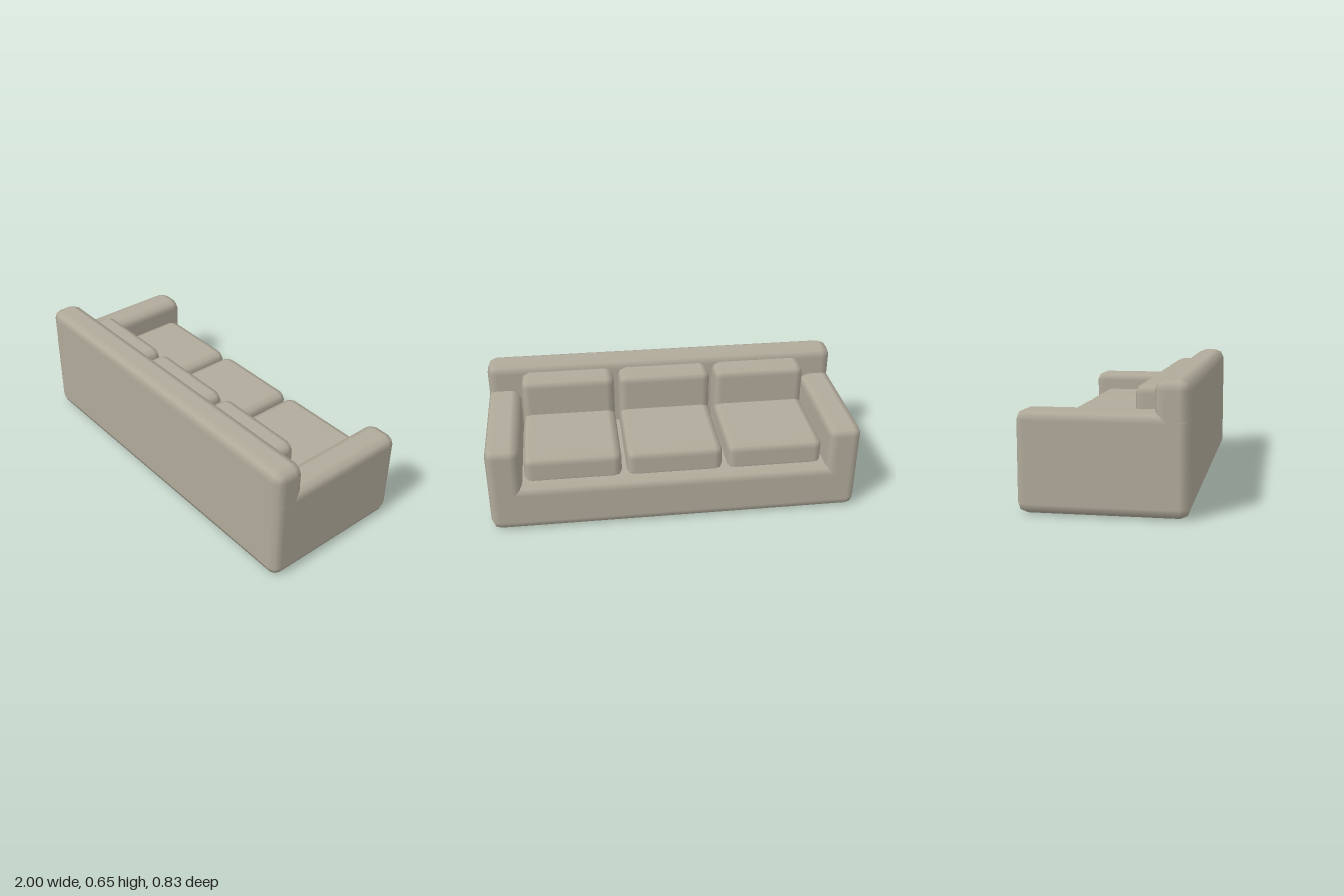
import * as THREE from 'three';
import { RoundedBoxGeometry } from 'three/addons/geometries/RoundedBoxGeometry.js';

export function createModel() {
  const sofa = new THREE.Group();
  sofa.name = 'sofa';
  const fabric = new THREE.MeshStandardMaterial({ color: 0xb0aa9a });
  fabric.name = 'warm grey fabric';

  // Softly bevelled block spanning [x0,x1], [y0,y1], [z0,z1]
  function block(name, [x0, x1], [y0, y1], [z0, z1], radius) {
    const geometry = new RoundedBoxGeometry(x1 - x0, y1 - y0, z1 - z0, 1, radius);
    const mesh = new THREE.Mesh(geometry, fabric);
    mesh.name = name;
    mesh.position.set((x0 + x1) / 2, (y0 + y1) / 2, (z0 + z1) / 2);
    sofa.add(mesh);
  }

  // Frame: base, backrest along +z, and two arms (tiny insets avoid coplanar faces)
  block('base', [-0.997, 0.997], [0, 0.265], [-0.414, 0.412], 0.05);
  block('backrest', [-0.998, 0.998], [0.002, 0.655], [0.243, 0.415], 0.055);
  block('leftArm', [0.82, 1], [0.001, 0.5], [-0.415, 0.413], 0.05);
  block('rightArm', [-1, -0.82], [0.001, 0.5], [-0.415, 0.413], 0.05);

  // Three seat cushions, each with a back cushion
  ['right', 'middle', 'left'].forEach((side, i) => {
    const x = (i - 1) * 0.547;
    const span = [x - 0.26, x + 0.26];
    block(side + 'SeatCushion', span, [0.23, 0.4], [-0.347, 0.27], 0.045);
    block(side + 'BackCushion', span, [0.3, 0.608], [0.124, 0.3], 0.045);
  });

  return sofa;
}
